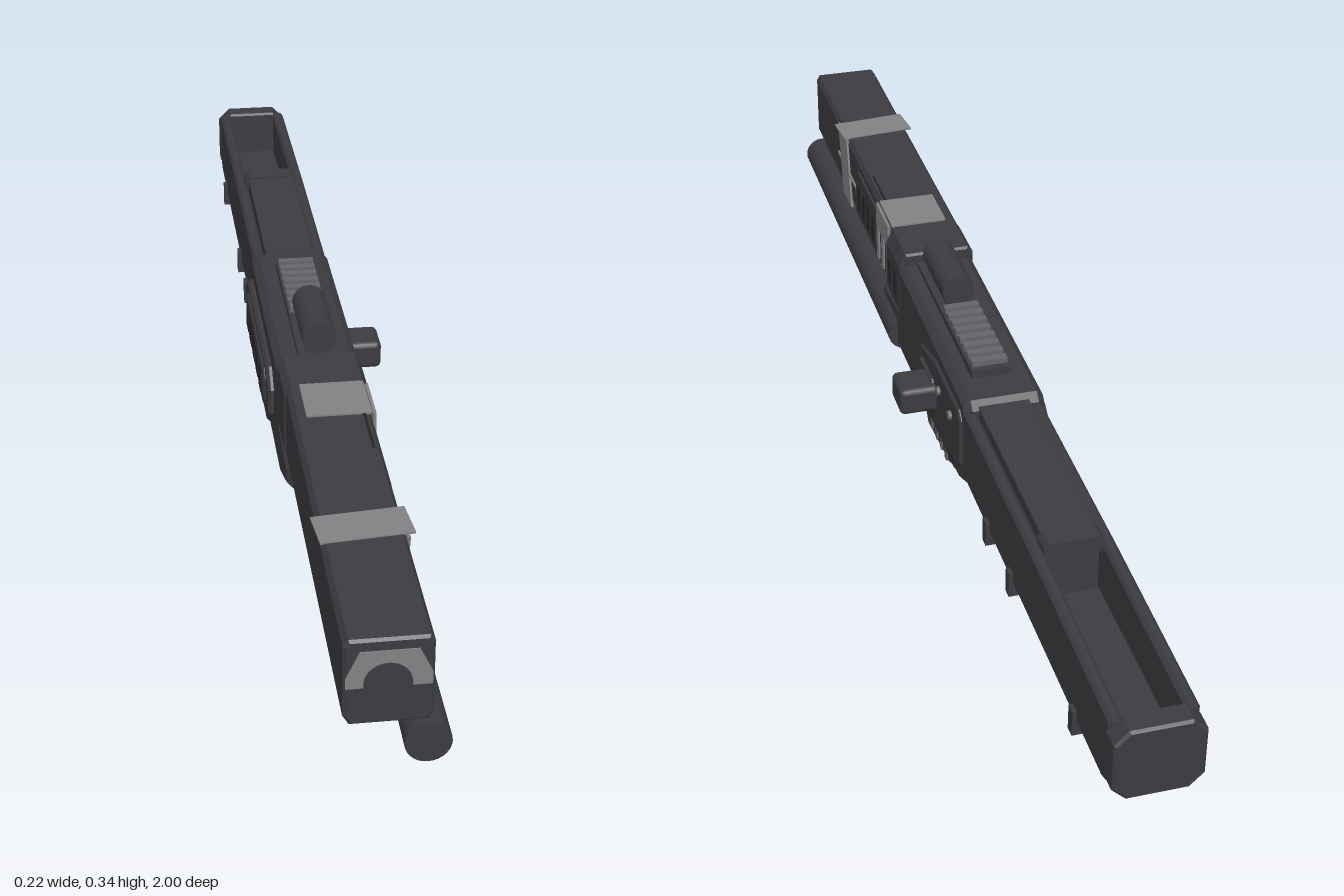
import * as THREE from 'three';
import { RoundedBoxGeometry } from 'three/addons/geometries/RoundedBoxGeometry.js';

const material = (name, color) => {
  const m = new THREE.MeshStandardMaterial({ color });
  m.name = name;
  return m;
};

export function createModel() {
  const body = material('charcoal', 0x3c3b40);
  const dark = material('darkSlot', 0x262529);
  const light = material('lightGrey', 0x828285);
  const rib = material('ribGrey', 0x66666a);
  const model = new THREE.Group();

  const add = (name, geometry, mat = body) => {
    const mesh = new THREE.Mesh(geometry, mat);
    mesh.name = name;
    model.add(mesh);
    return mesh;
  };
  // box given by its limits on each axis
  const box = (name, x0, x1, y0, y1, z0, z1, mat = body) =>
    add(name, new THREE.BoxGeometry(x1 - x0, y1 - y0, z1 - z0)
      .translate((x0 + x1) / 2, (y0 + y1) / 2, (z0 + z1) / 2), mat);
  const extrude = (points, depth, bevel) => {
    const shape = new THREE.Shape(points.map(p => new THREE.Vector2(...p)));
    return new THREE.ExtrudeGeometry(shape, {
      depth: depth - 2 * bevel, bevelEnabled: bevel > 0, bevelThickness: bevel,
      bevelSize: bevel, bevelOffset: -bevel, bevelSegments: 1,
    }).translate(0, 0, bevel);
  };
  // side profile in (z, y), extruded across x
  const side = (name, points, x0, x1, bevel = 0, mat = body) =>
    add(name, extrude(points, x1 - x0, bevel).rotateY(-Math.PI / 2).translate(x1, 0, 0), mat);
  // cross-section in (x, y), extruded along z
  const section = (name, points, z0, z1, bevel = 0, mat = body) =>
    add(name, extrude(points, z1 - z0, bevel).translate(0, 0, z0), mat);
  // rectangle with cut corners
  const cut = (a0, a1, b0, b1, c) => [
    [a0 + c, b0], [a1 - c, b0], [a1, b0 + c], [a1, b1 - c],
    [a1 - c, b1], [a0 + c, b1], [a0, b1 - c], [a0, b0 + c]];
  const rod = (name, x, y, r, z0, z1, mat = body) =>
    add(name, new THREE.CylinderGeometry(r, r, z1 - z0, 28)
      .rotateX(Math.PI / 2).translate(x, y, (z0 + z1) / 2), mat);

  // front housing
  section('frontHousing', [[-0.084, 0.16], [0.024, 0.16], [0.03, 0.175], [0.03, 0.288],
    [0.024, 0.298], [-0.086, 0.298], [-0.093, 0.288], [-0.093, 0.175]], 0.22, 0.995, 0.004);
  section('muzzlePlate', [[-0.09, 0.222], [0.027, 0.222], [0.027, 0.242], [0.009, 0.28],
    [-0.071, 0.28], [-0.09, 0.238]], 0.993, 0.997, 0, light);
  rod('muzzleDisc', -0.033, 0.228, 0.033, 0.99, 1);
  box('housingKeel', -0.08, 0.02, 0.148, 0.166, 0.3, 0.9);
  rod('lowerTube', 0.025, 0.118, 0.033, 0.24, 0.99);

  // vented panel on the housing side
  side('ventPanel', [[0.61, 0.178], [0.61, 0.262], [0.59, 0.275], [0.32, 0.275], [0.32, 0.178]],
    0.028, 0.034);
  for (let i = 0; i < 4; i++) {
    const z = 0.45 + i * 0.04;
    box('housingVent', 0.033, 0.036, 0.195, 0.25, z, z + 0.017, dark);
  }

  // painted bands
  box('topPatch', -0.072, 0.03, 0.297, 0.301, 0.32, 0.42, light);
  box('sidePatchUpper', 0.032, 0.037, 0.25, 0.298, 0.325, 0.42, light);
  for (const z of [0.325, 0.365, 0.403])
    box('sidePatchBar', 0.032, 0.037, 0.185, 0.25, z, z + 0.017, light);
  side('sideStripe', [[0.66, 0.16], [0.73, 0.16], [0.765, 0.298], [0.69, 0.298]],
    0.029, 0.034, 0, light);
  box('sideLine', 0.029, 0.033, 0.222, 0.228, 0.61, 0.78, light);
  const topStripe = box('topStripe', -0.098, 0.04, 0.297, 0.3, -0.034, 0.034, light);
  topStripe.position.z = 0.725;
  topStripe.rotation.y = 0.09;
  box('topSeam', 0.016, 0.02, 0.296, 0.3, 0.42, 0.52, dark);

  // collar between housing and receiver
  section('collar', [[-0.09, 0.17], [0.036, 0.17], [0.042, 0.18], [0.042, 0.272],
    [0.03, 0.298], [-0.086, 0.298], [-0.096, 0.285], [-0.096, 0.18]], 0.215, 0.32, 0.004);
  for (const z of [0.24, 0.28]) box('collarSlot', 0.04, 0.044, 0.2, 0.25, z, z + 0.016, dark);

  // receiver
  side('receiver', [[0.25, 0.088], [0.36, 0.13], [0.36, 0.17], [0.24, 0.18], [0.24, 0.268],
    [0.22, 0.275], [-0.22, 0.268], [-0.235, 0.255], [-0.235, 0.15], [-0.2, 0.088]],
  -0.096, 0.041, 0.012);
  side('rearHump', [[-0.22, 0.13], [-0.35, 0.13], [-0.33, 0.095], [-0.29, 0.085], [-0.23, 0.095]].reverse(),
    -0.07, 0.02, 0.006);

  // control panel on the left side, with its knob
  side('controlPanel', [[0.05, 0.13], [0.03, 0.105], [-0.18, 0.105], [-0.215, 0.14],
    [-0.215, 0.225], [-0.2, 0.24], [-0.05, 0.24], [0.05, 0.215]].reverse(), 0.036, 0.046, 0.003);
  side('knobPlate', cut(-0.06, 0.05, 0.13, 0.2, 0.018), 0.04, 0.052, 0.003);
  add('knob', new RoundedBoxGeometry(0.07, 0.05, 0.07, 2, 0.01).translate(0.074, 0.17, -0.028));
  for (const z of [-0.085, -0.16])
    add('panelPin', new THREE.CylinderGeometry(0.008, 0.008, 0.012, 12)
      .rotateZ(Math.PI / 2).translate(0.046, 0.203, z), rib);
  for (const z of [-0.05, -0.19]) box('panelSlot', 0.044, 0.048, 0.122, 0.128, z, z + 0.045, dark);

  // raised cover on the right side, with five slots
  side('sideCover', [[0.13, 0.125], [0.16, 0.155], [0.16, 0.2], [0.13, 0.23],
    [-0.2, 0.23], [-0.24, 0.2], [-0.24, 0.15], [-0.21, 0.125]].reverse(), -0.106, -0.09, 0.005);
  side('coverFrame', cut(-0.19, 0.12, 0.145, 0.215, 0.015), -0.11, -0.1, 0.003);
  for (let i = 0; i < 5; i++) {
    const z = -0.165 + i * 0.055;
    box('coverSlot', -0.112, -0.108, 0.157, 0.203, z, z + 0.032, dark);
  }

  // top rail and sight
  box('railBase', -0.058, 0.01, 0.265, 0.283, -0.16, 0.21);
  for (let i = 0; i < 8; i++) {
    const z = -0.148 + i * 0.025;
    box('railTooth', -0.055, 0.006, 0.282, 0.293, z, z + 0.014, rib);
  }
  rod('sight', -0.024, 0.31, 0.028, 0.05, 0.19);
  rod('sightLens', -0.024, 0.31, 0.019, 0.047, 0.193);
  box('sightFoot', -0.045, -0.003, 0.278, 0.3, 0.055, 0.185);

  // magazine
  side('magazine', [[0.118, 0.1], [0.128, 0.035], [0.1, 0.003], [-0.055, 0.018], [-0.08, 0.1]].reverse(),
    -0.068, 0.02, 0.008);
  for (let i = 0; i < 4; i++) {
    const z = -0.042 + i * 0.033;
    box('magazineRibLeft', 0.019, 0.023, 0.022, 0.068, z, z + 0.012, rib);
    box('magazineRibRight', -0.071, -0.067, 0.022, 0.068, z, z + 0.012, rib);
  }

  // rear stock: open channel above and below a web
  const wall = [[-0.22, 0.125], [-0.22, 0.25], [-0.6, 0.247], [-0.97, 0.237], [-0.97, 0.125],
    [-0.95, 0.118], [-0.25, 0.118]];
  side('stockWallLeft', wall, 0.02, 0.041, 0.005);
  side('stockWallRight', wall, -0.091, -0.07, 0.005);
  box('stockWeb', -0.072, 0.022, 0.14, 0.155, -0.97, -0.22);
  box('stockInnerCover', -0.068, 0.018, 0.15, 0.26, -0.6, -0.22);
  section('innerCoverLip', [[-0.073, 0.235], [0.023, 0.235], [0.023, 0.255], [0.015, 0.264],
    [-0.065, 0.264], [-0.073, 0.255]], -0.612, -0.575);
  section('stockEndCap', cut(-0.093, 0.043, 0.116, 0.241, 0.022), -1, -0.96, 0.004);
  box('stockBelly', -0.072, 0.022, 0.12, 0.145, -0.6, -0.22);

  // cross straps under the stock
  for (const z of [-0.375, -0.508, -0.83]) {
    box('strap', -0.098, 0.048, 0.096, 0.112, z - 0.009, z + 0.009);
    for (const x of [-0.098, 0.038]) box('strapHook', x, x + 0.01, 0.1, 0.14, z - 0.009, z + 0.009);
  }
  return model;
}
